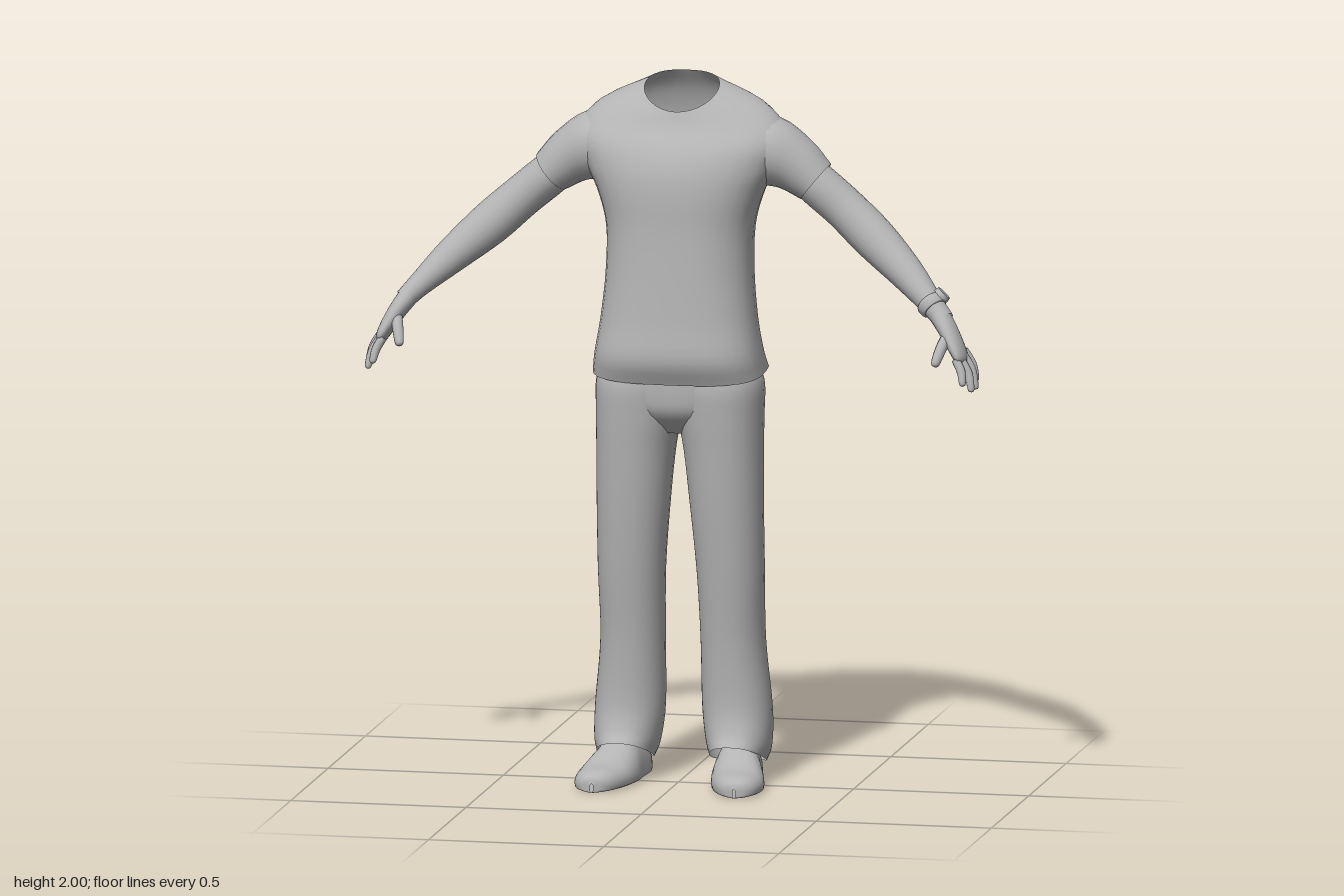
import * as THREE from 'three';

const V = (x, y, z) => new THREE.Vector3(x, y, z);
const SIDES = 32;

// Smooth surface through a stack of closed rings of points
function skin(rings, steps = 4) {
  const rows = (rings.length - 1) * steps;
  const columns = rings[0].map((_, j) =>
    new THREE.CatmullRomCurve3(rings.map(r => r[j]), false, 'catmullrom', 0.5));
  const pos = [], index = [], n = columns.length;
  for (let i = 0; i <= rows; i++)
    for (const c of columns) pos.push(...c.getPoint(i / rows).toArray());
  for (let i = 0; i < rows; i++)
    for (let j = 0; j < n; j++) {
      const a = i * n + j, b = i * n + (j + 1) % n;
      index.push(a, a + n, b, b, a + n, b + n);
    }
  const g = new THREE.BufferGeometry();
  g.setAttribute('position', new THREE.Float32BufferAttribute(pos, 3));
  g.setIndex(index);
  g.computeVertexNormals();
  return g;
}

const power = (v, n) => Math.sign(v) * Math.pow(Math.abs(v), 2 / n);

// Garment ring: front height, back height, x range, front z, back z, squareness
function slab([yf, yb, x0, x1, zf, zb, n = 2.2]) {
  return Array.from({ length: SIDES }, (_, j) => {
    const a = j / SIDES * Math.PI * 2, s = power(Math.sin(a), n), c = power(Math.cos(a), n);
    const y = yb - (yb - yf) * Math.pow((1 + s) / 2, 1.6);
    return V((x0 + x1) / 2 + c * (x1 - x0) / 2, y, (zf + zb) / 2 + s * (zf - zb) / 2);
  });
}

// Limb along points [x, y, z, thickness radius, width radius]
function limb(points, sides = 20) {
  const centre = points.map(p => V(p[0], p[1], p[2]));
  return skin(points.map((p, i) => {
    const t = centre[Math.min(i + 1, points.length - 1)].clone()
      .sub(centre[Math.max(i - 1, 0)]).normalize();
    const u = t.clone().cross(V(0, 0, 1)).normalize(), v = u.clone().cross(t);
    return Array.from({ length: sides }, (_, j) => {
      const a = j / sides * Math.PI * 2;
      return centre[i].clone().addScaledVector(u, Math.cos(a) * p[3])
        .addScaledVector(v, Math.sin(a) * p[4]);
    });
  }));
}

// Tapered finger with a rounded tip
function finger(base, mid, tip, r) {
  const end = V(...tip).add(V(...tip).sub(V(...mid)).normalize().multiplyScalar(r * 0.6));
  return limb([[...base, r, r * 1.1], [...mid, r, r * 1.05],
    [...tip, r * 0.75, r * 0.75], [...end.toArray(), 0.001, 0.001]], 10);
}

// Shoe from cross-sections [z, centre x, half width, top height], flat underneath
function shoe(sections) {
  return skin(sections.map(([z, x, w, h]) => Array.from({ length: 24 }, (_, j) => {
    const a = j / 24 * Math.PI * 2, s = Math.sin(a);
    return V(x + power(Math.cos(a), 2.6) * w, s > 0 ? 0.02 + s * (h - 0.02) : 0.02 + 0.02 * power(s, 5), z);
  })));
}

export function createModel() {
  const model = new THREE.Group();
  const grey = new THREE.MeshStandardMaterial({ color: 0xb4b4b4, side: THREE.DoubleSide });
  grey.name = 'plain grey';
  const add = (parent, name, geometry) => {
    const m = new THREE.Mesh(geometry, grey);
    m.name = name;
    parent.add(m);
    return m;
  };

  // Shirt body, open at the hem and neck
  add(model, 'shirtBody', skin([
    [1.15, 1.18, -0.243, 0.243, 0.128, -0.193, 3],
    [1.22, 1.23, -0.234, 0.234, 0.158, -0.18, 2.7],
    [1.32, 1.32, -0.219, 0.219, 0.15, -0.175, 2.5],
    [1.45, 1.45, -0.207, 0.207, 0.14, -0.186, 2.4],
    [1.58, 1.58, -0.208, 0.208, 0.132, -0.2, 2.4],
    [1.68, 1.68, -0.236, 0.236, 0.13, -0.205, 2.3],
    [1.75, 1.76, -0.275, 0.275, 0.12, -0.205, 2.1],
    [1.81, 1.86, -0.298, 0.298, 0.095, -0.193, 2],
    [1.865, 1.94, -0.238, 0.238, 0.055, -0.168, 2],
    [1.91, 2.0, -0.106, 0.106, 0.035, -0.13, 2],
  ].map(slab)));

  // Seat of the trousers, joining the two legs
  add(model, 'trouserSeat', skin([
    [1.0, 1.0, -0.08, 0.08, 0.05, -0.09],
    [1.06, 1.06, -0.18, 0.18, 0.108, -0.158],
    [1.12, 1.12, -0.225, 0.225, 0.12, -0.173],
    [1.2, 1.2, -0.222, 0.222, 0.118, -0.17],
  ].map(slab)));

  for (const side of [1, -1]) {
    const half = new THREE.Group();
    half.name = side > 0 ? 'leftSide' : 'rightSide';
    half.scale.x = side;
    model.add(half);

    // Sleeve, rooted inside the shoulder
    add(half, 'sleeve', limb([
      [0.16, 1.8, -0.065, 0.09, 0.105],
      [0.25, 1.79, -0.068, 0.098, 0.1],
      [0.32, 1.755, -0.07, 0.08, 0.083],
      [0.378, 1.708, -0.07, 0.064, 0.072],
    ], 24));

    // Arm tapering to the wrist
    add(half, 'arm', limb([
      [0.32, 1.755, -0.07, 0.055, 0.062],
      [0.38, 1.702, -0.07, 0.06, 0.065],
      [0.46, 1.635, -0.07, 0.06, 0.062],
      [0.55, 1.555, -0.052, 0.061, 0.06],
      [0.65, 1.468, -0.012, 0.049, 0.05],
      [0.73, 1.393, 0.035, 0.034, 0.036],
      [0.77, 1.352, 0.056, 0.029, 0.034],
    ]));

    // Hand
    const hand = new THREE.Group();
    hand.name = 'hand';
    half.add(hand);
    add(hand, 'palm', limb([
      [0.755, 1.367, 0.05, 0.029, 0.034],
      [0.785, 1.325, 0.067, 0.026, 0.042],
      [0.815, 1.275, 0.086, 0.021, 0.047],
      [0.83, 1.245, 0.095, 0.014, 0.042],
      [0.833, 1.238, 0.097, 0.001, 0.005],
    ]));
    [
      [[0.826, 1.27, 0.052], [0.85, 1.23, 0.05], [0.862, 1.19, 0.058]],
      [[0.828, 1.262, 0.075], [0.854, 1.22, 0.078], [0.866, 1.172, 0.086]],
      [[0.825, 1.255, 0.1], [0.85, 1.213, 0.106], [0.861, 1.17, 0.118]],
      [[0.818, 1.253, 0.122], [0.835, 1.222, 0.132], [0.842, 1.19, 0.145]],
    ].forEach((p, i) => add(hand, 'finger' + (i + 1), finger(...p, 0.0125)));
    add(hand, 'thumb', finger([0.79, 1.325, 0.075], [0.775, 1.282, 0.122], [0.765, 1.245, 0.15], 0.016));

    // Trouser leg with a gathered cuff
    add(half, 'trouserLeg', skin([
      [0.115, 0.045, 0.083, 0.238, 0.068, -0.155, 2.3],
      [0.15, 0.09, 0.068, 0.25, 0.045, -0.176, 2.3],
      [0.23, 0.2, 0.055, 0.25, 0.03, -0.182, 2.2],
      [0.4, 0.4, 0.053, 0.233, 0.04, -0.17],
      [0.6, 0.6, 0.047, 0.235, 0.066, -0.146],
      [0.8, 0.8, 0.03, 0.235, 0.09, -0.14],
      [0.95, 0.95, 0.014, 0.235, 0.105, -0.15],
      [1.05, 1.05, -0.005, 0.236, 0.115, -0.165],
      [1.14, 1.14, -0.02, 0.236, 0.12, -0.175, 2.1],
      [1.2, 1.2, -0.02, 0.21, 0.1, -0.15, 2],
    ].map(slab)));

    // Shoe
    add(half, 'shoe', shoe([
      [-0.162, 0.155, 0.004, 0.03],
      [-0.155, 0.155, 0.04, 0.07],
      [-0.11, 0.158, 0.06, 0.11],
      [-0.02, 0.168, 0.066, 0.125],
      [0.04, 0.178, 0.075, 0.1],
      [0.11, 0.192, 0.075, 0.068],
      [0.17, 0.2, 0.06, 0.058],
      [0.203, 0.203, 0.034, 0.045],
      [0.212, 0.203, 0.004, 0.025],
    ]));
  }

  // Wristwatch on the left wrist
  const watch = new THREE.Group();
  watch.name = 'wristwatch';
  model.add(watch);
  add(watch, 'watchStrap', limb([
    [0.722, 1.401, 0.031, 0.034, 0.036], [0.725, 1.398, 0.033, 0.041, 0.043],
    [0.74, 1.383, 0.04, 0.039, 0.041], [0.743, 1.38, 0.042, 0.031, 0.034],
  ]));
  const face = add(watch, 'watchFace', new THREE.CylinderGeometry(0.022, 0.025, 0.014, 20));
  const outward = V(0.68, 0.7, -0.15).normalize();
  face.quaternion.setFromUnitVectors(V(0, 1, 0), outward);
  face.position.set(0.732, 1.391, 0.036).addScaledVector(outward, 0.041);

  return model;
}
